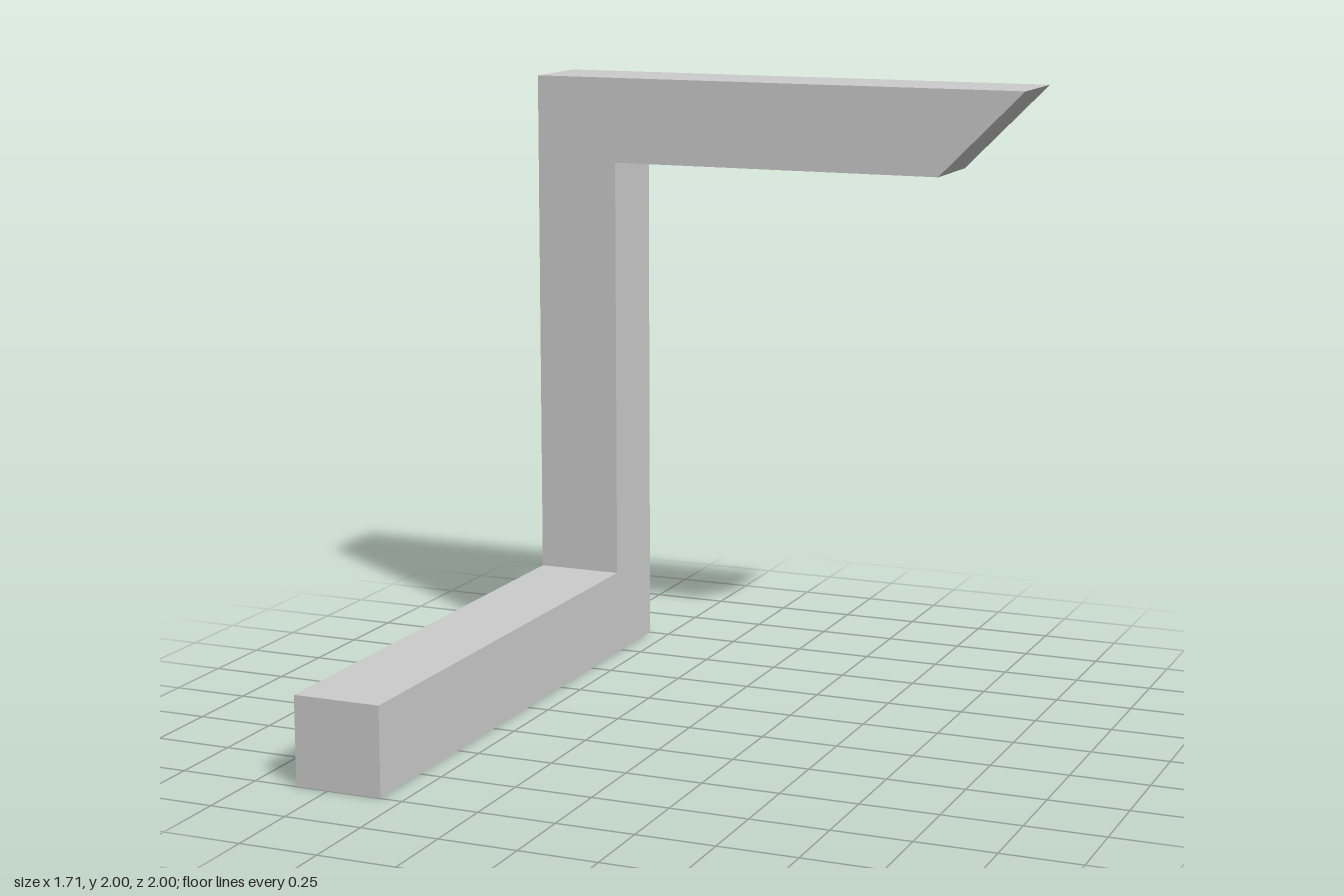
import * as THREE from 'three';

const T = 2 / 7;  // thickness of the square bar
const HALF = 3 * T; // half of the overall width

export function createModel() {
  const group = new THREE.Group();
  const material = new THREE.MeshStandardMaterial({ color: 0xcccccc, flatShading: true });

  // Upright post and top arm in one piece, the arm's end cut at 45 degrees
  const outline = new THREE.Shape([
    [-HALF, 0], [-HALF + T, 0], [-HALF + T, 2 - T],
    [HALF - T, 2 - T], [HALF, 2], [-HALF, 2],
  ].map(([x, y]) => new THREE.Vector2(x, y)));
  const postGeometry = new THREE.ExtrudeGeometry(outline, { depth: T, bevelEnabled: false });
  const post = new THREE.Mesh(postGeometry, material);
  post.name = 'postAndArm';
  post.position.z = -1;
  group.add(post);

  // Foot bar running forward from the base of the post
  const length = 2 - T;
  const foot = new THREE.Mesh(new THREE.BoxGeometry(T, T, length), material);
  foot.name = 'footBar';
  foot.position.set(-HALF + T / 2, T / 2, 1 - length / 2);
  group.add(foot);

  return group;
}
